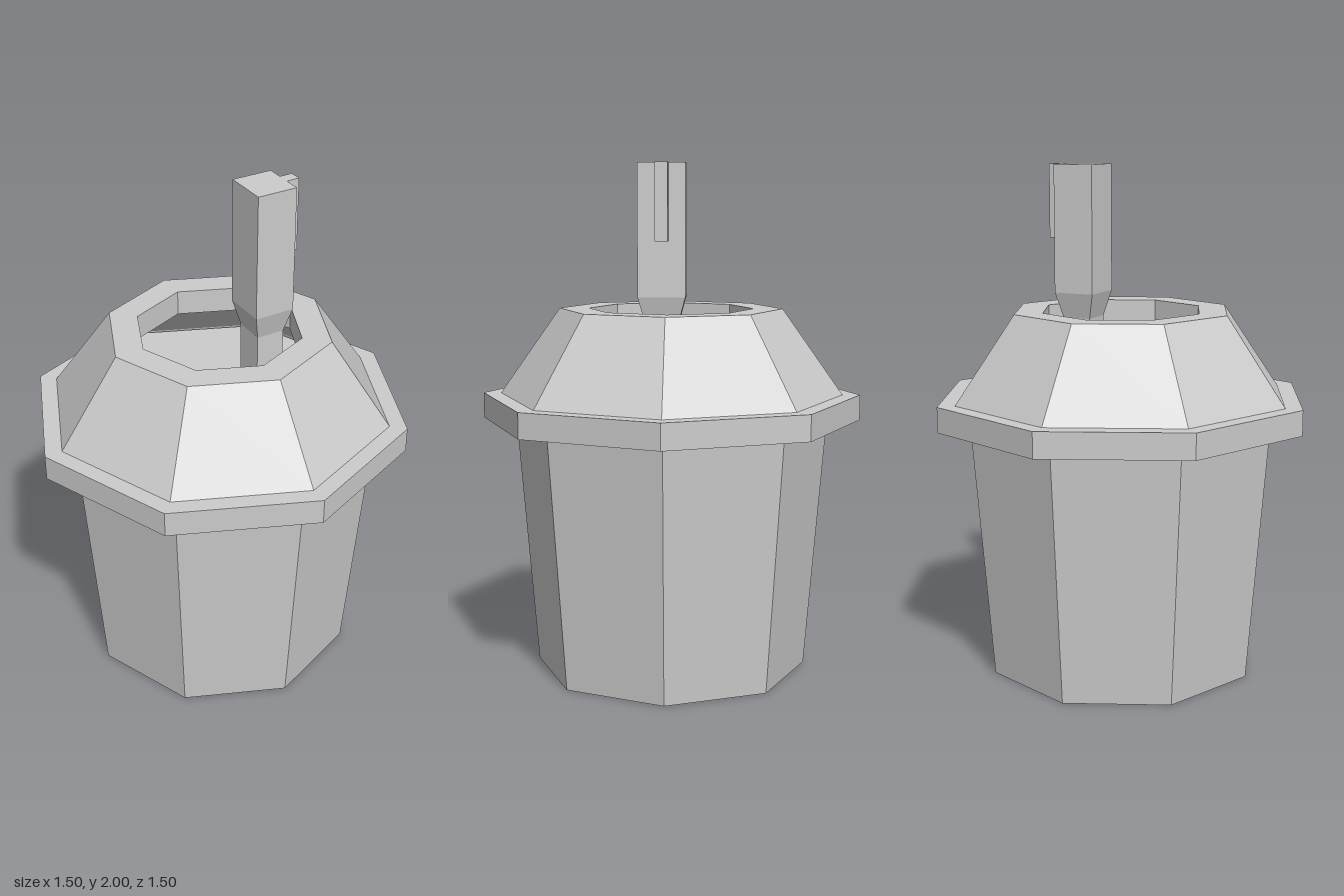
import * as THREE from 'three';

const material = new THREE.MeshStandardMaterial({ color: 0xcccccc, flatShading: true });

function addMesh(group, name, geometry) {
  const mesh = new THREE.Mesh(geometry, material);
  mesh.name = name;
  group.add(mesh);
  return mesh;
}

// Eight-sided turned solid, corners on the x and z axes
function octagonal(profile) {
  return new THREE.LatheGeometry(profile.map(([r, y]) => new THREE.Vector2(r, y)), 8);
}

// Box whose bottom face is scaled by "taper", spanning bottom to top in y
function post(width, depth, bottom, top, taper = 1) {
  const geometry = new THREE.BoxGeometry(width, top - bottom, depth);
  const p = geometry.attributes.position;
  for (let i = 0; i < p.count; i++) {
    if (p.getY(i) < 0) p.setXYZ(i, p.getX(i) * taper, p.getY(i), p.getZ(i) * taper);
  }
  return geometry.translate(0, (bottom + top) / 2, 0);
}

export function createModel() {
  const model = new THREE.Group();
  model.name = 'drinkCup';

  // Tapered cup with its contents surface on top
  addMesh(model, 'cup', octagonal([[0, 0], [0.54, 0], [0.628, 1.1], [0, 1.1]]));

  // Hollow lid: flange, sloping dome, short collar around the opening, inner skin
  addMesh(model, 'lid', octagonal([
    [0.66, 1], [0.75, 1], [0.75, 1.1], [0.68, 1.1], [0.44, 1.44], [0.325, 1.44],
    [0.325, 1.34], [0.4, 1.34], [0.64, 1.1], [0.66, 1],
  ]));

  // Square straw: wide upper part, tapered neck, slim stem into the cup
  const straw = new THREE.Group();
  straw.name = 'straw';
  straw.position.set(0.18, 0, 0.023);
  addMesh(straw, 'strawTop', post(0.164, 0.18, 1.5, 2));
  addMesh(straw, 'strawNeck', post(0.164, 0.18, 1.4, 1.5, 0.7));
  addMesh(straw, 'strawStem', post(0.115, 0.126, 1.08, 1.4));
  // Narrow rib on the left face of the straw
  addMesh(straw, 'strawRib', post(0.06, 0.049, 1.71, 2)).position.set(0.105, 0, -0.002);
  model.add(straw);

  return model;
}
